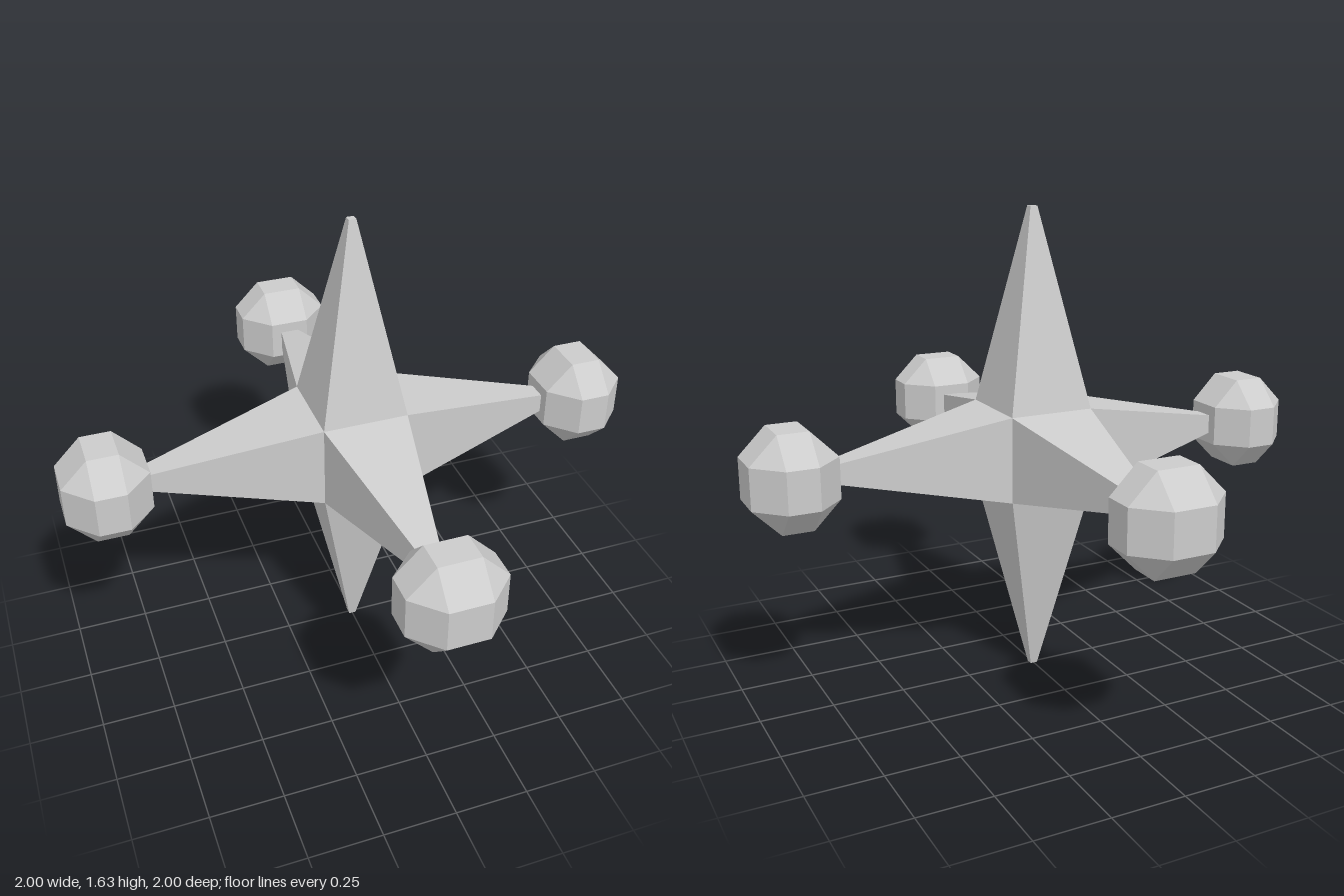
import * as THREE from 'three';
import { mergeGeometries } from 'three/addons/utils/BufferGeometryUtils.js';
import { ConvexGeometry } from 'three/addons/geometries/ConvexGeometry.js';

const CORE = 0.147;   // half width where the spikes meet
const TIP = 0.0125;   // half width of the blunt tip
const REACH = 0.817;  // centre to tip

// Four-sided tapering spike pointing up, with a small flat tip
function spikeGeometry() {
  const length = REACH - CORE;
  const sides = new THREE.CylinderGeometry(TIP * Math.SQRT2, CORE * Math.SQRT2, length, 4, 1, true)
    .rotateY(Math.PI / 4)
    .translate(0, CORE + length / 2, 0);
  const tip = new THREE.PlaneGeometry(TIP * 2, TIP * 2).rotateX(-Math.PI / 2).translate(0, REACH, 0);
  const geometry = mergeGeometries([sides.toNonIndexed(), tip.toNonIndexed()]);
  geometry.computeVertexNormals();
  return geometry;
}

// Faceted ball of squares and corner triangles, flattened along y
function ballGeometry() {
  const inner = [0.07, 0.052, 0.07];
  const outer = [0.163, 0.144, 0.163];
  const points = [];
  for (let axis = 0; axis < 3; axis++) {
    for (const sx of [-1, 1]) for (const sy of [-1, 1]) for (const sz of [-1, 1]) {
      const p = [sx, sy, sz].map((s, i) => s * (i === axis ? outer[i] : inner[i]));
      points.push(new THREE.Vector3(...p));
    }
  }
  return new ConvexGeometry(points);
}

export function createModel() {
  const model = new THREE.Group();
  model.name = 'spikedStar';
  const grey = new THREE.MeshStandardMaterial({ color: 0xcccccc });
  grey.name = 'grey';

  const spike = spikeGeometry();
  const ball = ballGeometry();
  const up = new THREE.Vector3(0, 1, 0);

  // Six arms; the four level ones carry a ball at the end
  const arms = [
    ['top', 0, 1, 0], ['bottom', 0, -1, 0],
    ['left', 1, 0, 0], ['right', -1, 0, 0],
    ['front', 0, 0, 1], ['back', 0, 0, -1],
  ];
  for (const [side, x, y, z] of arms) {
    const arm = new THREE.Group();
    arm.name = side + 'Arm';
    arm.position.y = REACH;
    arm.quaternion.setFromUnitVectors(up, new THREE.Vector3(x, y, z));

    const spikeMesh = new THREE.Mesh(spike, grey);
    spikeMesh.name = side + 'Spike';
    arm.add(spikeMesh);

    if (y === 0) {
      const ballMesh = new THREE.Mesh(ball, grey);
      ballMesh.name = side + 'Ball';
      ballMesh.position.y = 0.856;
      arm.add(ballMesh);
    }
    model.add(arm);
  }
  return model;
}
